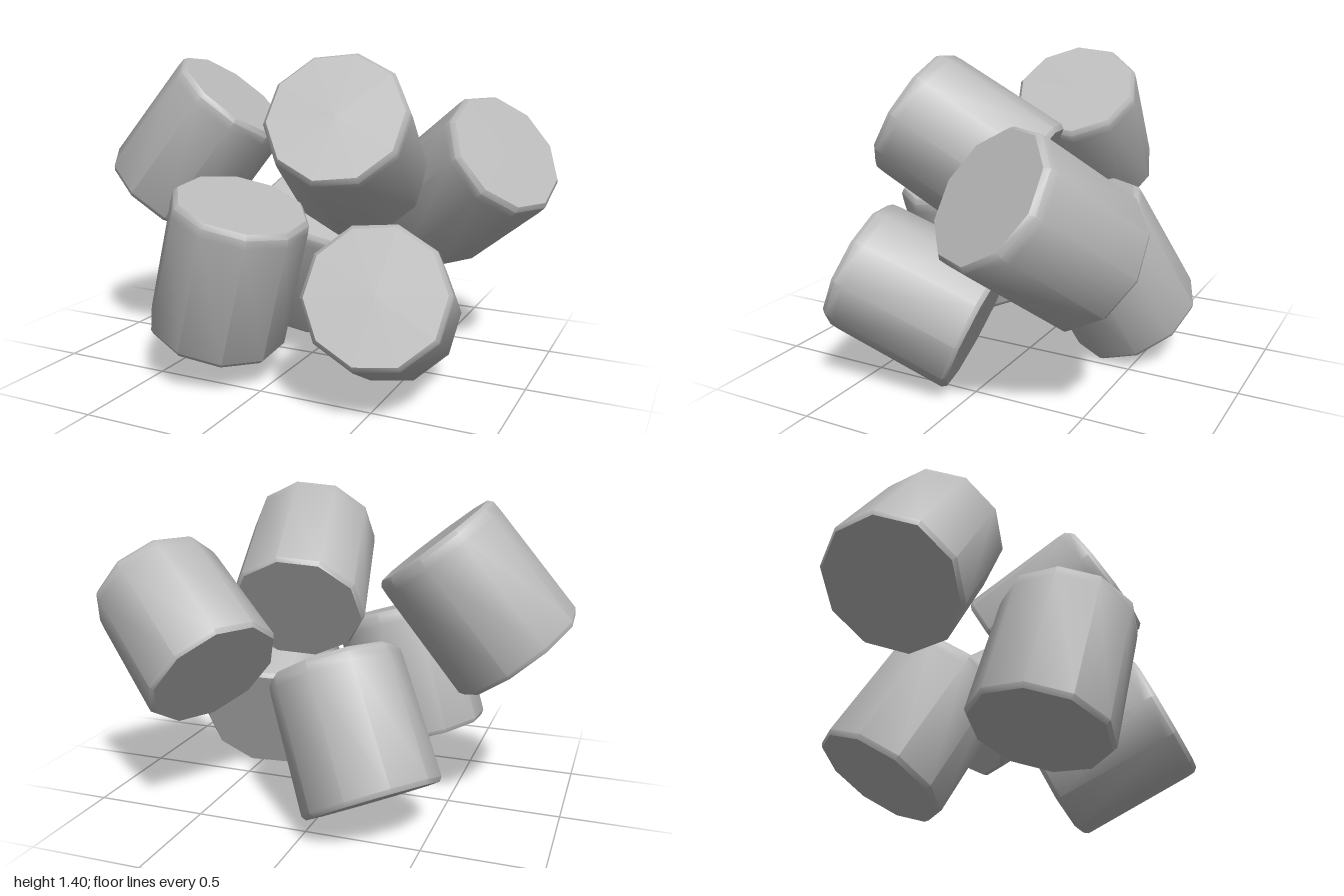
import * as THREE from 'three';
import { toCreasedNormals } from 'three/addons/utils/BufferGeometryUtils.js';

const LOW_RADIUS = 0.305;
const HIGH_RADIUS = 0.297;
const SIDES = 10;

// Stubby ten-sided barrel, axis along y: tight lower rim, narrow bevel at the upper rim
function barrelGeometry(length) {
  const h = length / 2;
  const profile = [
    [0, -h], [LOW_RADIUS - 0.014, -h], [LOW_RADIUS, -h + 0.02],
    [HIGH_RADIUS, h - 0.06], [HIGH_RADIUS - 0.003, h - 0.02], [HIGH_RADIUS - 0.02, h], [0, h],
  ].map(([r, y]) => new THREE.Vector2(r, y));
  return toCreasedNormals(new THREE.LatheGeometry(profile, SIDES), 0.68);
}

// Centres of the lower and upper end of each piece, and its turn about its own axis
const PIECES = [
  ['upperRightPiece', [-0.785, 0.712, 0.02], [-0.41, 1.187, -0.03], 0],
  ['lowerRightFrontPiece', [-0.285, 0.192, 0.38], [-0.11, 0.78, 0.445], 0],
  ['lowerRightBackPiece', [-0.275, 0.148, -0.43], [-0.03, 0.67, -0.235], 0],
  ['lowerLeftFrontPiece', [0.408, 0.258, 0.04], [0.537, 0.502, 0.57], 0],
  ['upperMiddlePiece', [0.2, 0.85, -0.08], [0.3, 1.157, 0.42], 0],
  ['upperLeftBackPiece', [0.412, 0.638, -0.478], [0.82, 0.97, -0.25], 0.12],
];

export function createModel() {
  const model = new THREE.Group();
  model.name = 'pileOfPieces';
  const grey = new THREE.MeshStandardMaterial({ color: 0xbababa });
  grey.name = 'light grey';
  const up = new THREE.Vector3(0, 1, 0);

  for (const [name, low, high, turn] of PIECES) {
    const a = new THREE.Vector3(...low);
    const b = new THREE.Vector3(...high);
    const axis = b.clone().sub(a);
    const piece = new THREE.Mesh(barrelGeometry(axis.length()), grey);
    piece.name = name;
    piece.position.copy(a).add(b).multiplyScalar(0.5);
    piece.quaternion.setFromUnitVectors(up, axis.normalize());
    piece.rotateY(turn);
    model.add(piece);
  }
  return model;
}
